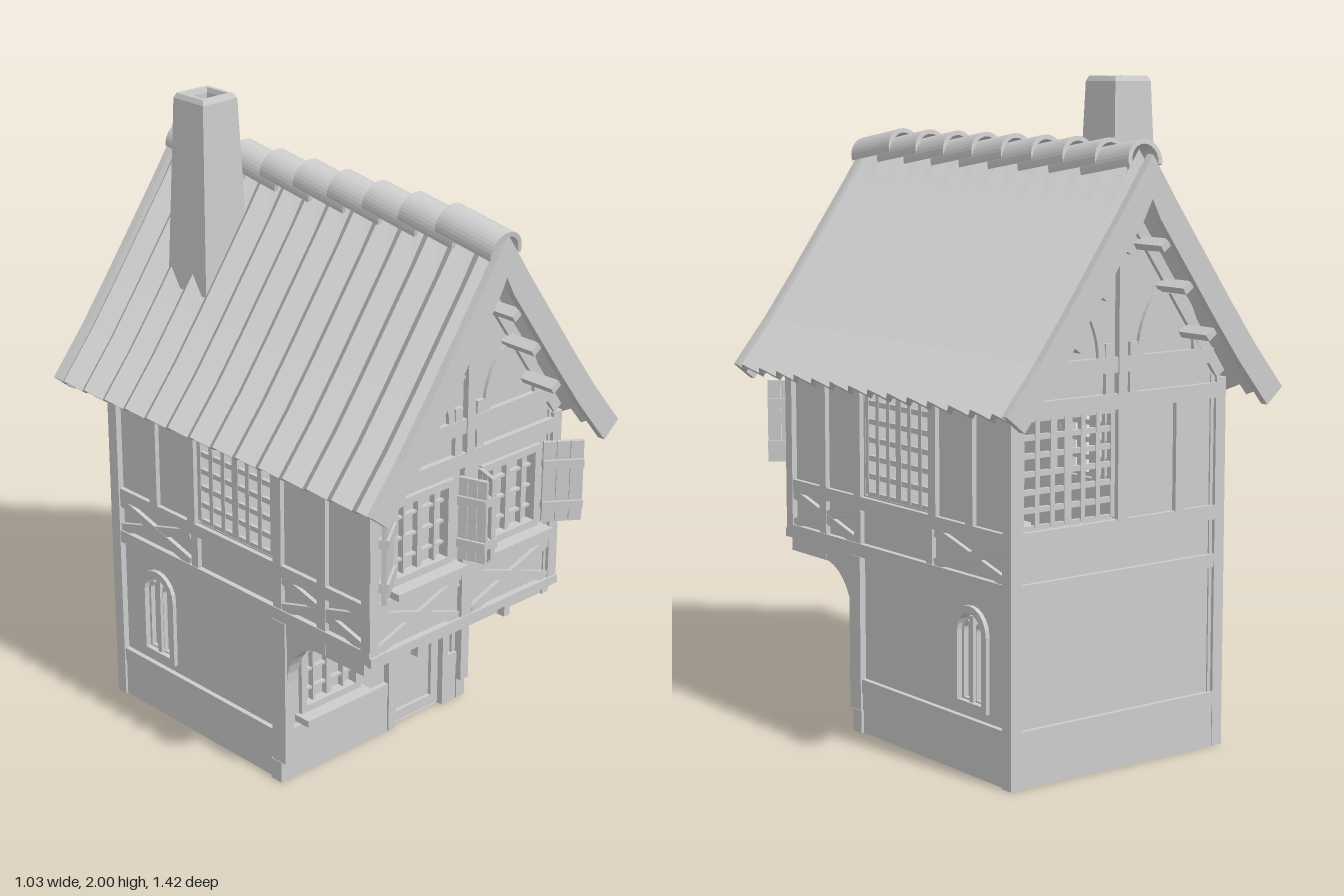
import * as THREE from 'three';

const grey = new THREE.MeshStandardMaterial({ color: 0xcccccc, side: THREE.DoubleSide });
grey.name = 'plain grey';

function add(parent, name, geo, x = 0, y = 0, z = 0) {
  const m = new THREE.Mesh(geo, grey);
  m.name = name;
  m.position.set(x, y, z);
  parent.add(m);
  return m;
}
// Box given by its x, y and z limits
function bar(g, name, x0, x1, y0, y1, z0, z1) {
  return add(g, name, new THREE.BoxGeometry(Math.abs(x1 - x0), y1 - y0, z1 - z0), (x0 + x1) / 2, (y0 + y1) / 2, (z0 + z1) / 2);
}
// Slanted timber lying on a wall
function beam(g, name, x0, y0, x1, y1, w, z, d = 0.02) {
  const m = add(g, name, new THREE.BoxGeometry(Math.hypot(x1 - x0, y1 - y0), w, d), (x0 + x1) / 2, (y0 + y1) / 2, z);
  m.rotation.z = Math.atan2(y1 - y0, x1 - x0);
}
const pts = (list) => list.map(([x, y]) => new THREE.Vector2(x, y));
const rect = (x0, x1, y0, y1) => [[x0, y0], [x1, y0], [x1, y1], [x0, y1]];
// Extruded outline with holes, its outer face at z = front
function plate(g, name, outline, holes, front, depth) {
  const s = new THREE.Shape(pts(outline));
  s.holes = holes.map((h) => new THREE.Path(pts(h)));
  return add(g, name, new THREE.ExtrudeGeometry(s, { depth, bevelEnabled: false }), 0, 0, front - depth);
}
// Round-headed outline
function arch(c, half, y0, y1) {
  const out = [[c - half, y0], [c + half, y0]];
  for (let i = 0; i <= 10; i++) {
    const a = (i / 10) * Math.PI;
    out.push([c + half * Math.cos(a), y1 - half + half * Math.sin(a)]);
  }
  return out;
}
// Framed pane with glazing bars and a sill
function windowUnit(g, x0, x1, y0, y1, W, sill = true) {
  const f = 0.022;
  plate(g, 'windowFrame', rect(x0, x1, y0, y1), [rect(x0 + f, x1 - f, y0 + f, y1 - f)], W + 0.014, 0.035);
  bar(g, 'windowPane', x0, x1, y0, y1, W - 0.028, W - 0.02);
  for (let i = 1; i < 4; i++) {
    const x = x0 + ((x1 - x0) * i) / 4, h = i === 2 ? 0.009 : 0.004, y = y0 + ((y1 - y0) * i) / 4;
    bar(g, 'glazingBar', x - h, x + h, y0, y1, W - 0.02, W);
    bar(g, 'glazingBar', x0, x1, y - 0.004, y + 0.004, W - 0.02, W - 0.004);
  }
  if (sill) bar(g, 'windowSill', x0 - 0.015, x1 + 0.015, y0 - 0.022, y0, W, W + 0.06);
}
// Open two-leaf grille
function lattice(g, x0, x1, y0, y1, W) {
  const n = 6, w = x1 - x0, h = y1 - y0;
  for (let i = 0; i <= n; i++) {
    const x = x0 + (w * i) / n, t = i === 3 ? 0.013 : 0.008, y = y0 + (h * i) / n;
    bar(g, 'latticeBar', x - t, x + t, y0, y1, W - 0.018, W);
    bar(g, 'latticeBar', x0, x1, y - 0.008, y + 0.008, W - 0.014, W - 0.002);
  }
}
function cross(g, x0, x1, y0, y1, W) {
  beam(g, 'crossBrace', x0, y0, x1, y1, 0.03, W);
  beam(g, 'crossBrace', x0, y1, x1, y0, 0.03, W - 0.001);
}

// Roof slope: slightly sagging profile, and a point offset along its normal
const slope = [[0, 1.8], [0.1, 1.655], [0.2, 1.515], [0.3, 1.375], [0.4, 1.24], [0.515, 1.1]];
function roofPoint(i, off) {
  const [x, y] = slope[i], a = slope[Math.max(i - 1, 0)], b = slope[Math.min(i + 1, 5)];
  const l = Math.hypot(b[0] - a[0], b[1] - a[1]);
  const px = x + (off * (a[1] - b[1])) / l, py = y + (off * (b[0] - a[0])) / l;
  return i === 0 ? [0, y + off * 1.6] : [px, py];
}

// Gable: wall top timbers, curved braces and purlin ends
function gable(g, W) {
  const T = W + 0.004;
  bar(g, 'gableRail', -0.385, 0.385, 1.06, 1.105, W - 0.01, W + 0.018);
  bar(g, 'gableRail', -0.35, 0.35, 1.165, 1.21, W - 0.01, W + 0.016);
  bar(g, 'kingPost', -0.016, 0.016, 1.1, 1.66, W - 0.01, W + 0.02);
  for (const s of [-1, 1]) {
    bar(g, 'gableStud', s * 0.03, s * 0.06, 1.105, 1.25, W - 0.01, W + 0.014);
    beam(g, 'gableRafter', s * 0.38, 1.13, 0, 1.665, 0.035, T);
    for (const [cx, dir] of [[0.06, 1], [0.3, -1]]) {
      const outer = [], inner = [];
      for (let i = 0; i <= 8; i++) {
        const a = (i / 8) * 1.35, k = Math.sin(a), c = 1 - Math.cos(a);
        outer.push([s * (cx + dir * 0.14 * c), 1.2 + 0.21 * k]);
        inner.unshift([s * (cx + dir * (0.025 + 0.125 * c)), 1.2 + 0.185 * k]);
      }
      plate(g, 'curvedBrace', [...outer, ...inner], [], W + 0.012, 0.02);
    }
    for (const [x, y] of [[0.07, 1.53], [0.155, 1.405], [0.245, 1.265]]) {
      const p = add(g, 'purlinEnd', new THREE.BoxGeometry(0.035, 0.022, 0.13), s * x, y, W + 0.055);
      p.rotation.z = s * 0.6;
    }
  }
}

export function createModel() {
  const house = new THREE.Group();
  house.name = 'timberHouse';

  // Long side walls; u maps world z to the wall's own x
  for (const s of [-1, 1]) {
    const g = new THREE.Group();
    g.name = s > 0 ? 'leftSide' : 'rightSide';
    g.rotation.y = (s * Math.PI) / 2;
    house.add(g);
    const W = 0.38, u = (z) => -s * z;
    const map = (list) => list.map(([z, y]) => [u(z), y]);
    const tim = (name, z0, z1, y0, y1, p = 0.015) => bar(g, name, u(z0), u(z1), y0, y1, W - 0.015, W + p);
    const hole = rect(-0.185, 0.165, 0.74, 1.09);
    plate(g, 'sideWall', map([[-0.575, 0], [0.2, 0], [0.2, 0.53], [0.575, 0.53], [0.575, 1.13], [-0.575, 1.13]]),
      [map(hole), map(arch(-0.38, 0.062, 0.215, 0.48))], W, 0.03);
    tim('plinth', -0.58, 0.2, 0, 0.125, 0.012);
    tim('lowRail', -0.58, 0.2, 0.125, 0.168, 0.016);
    tim('floorBeam', -0.58, 0.57, 0.55, 0.59, 0.018);
    tim('jettyBeam', 0.17, 0.56, 0.507, 0.56, 0.014);
    tim('sillRail', -0.58, 0.57, 0.695, 0.735);
    tim('cornerPost', -0.585, -0.545, 0, 1.12, 0.02);
    tim('frontPost', 0.17, 0.228, 0.07, 0.55, 0.02);
    tim('frontPostFoot', 0.165, 0.21, 0, 0.07, 0.022);
    tim('upperCornerPost', 0.55, 0.585, 0.56, 1.12, 0.018);
    for (const [z, y] of [[0.38, 0.51], [0.19, 0.55], [-0.2, 0.7], [-0.38, 0.7]]) tim('stud', z - 0.018, z + 0.018, y, 1.12);
    tim('stud', -0.2, -0.17, 0.59, 0.7);
    cross(g, u(-0.21), u(-0.55), 0.595, 0.69, W + 0.004);
    cross(g, u(0.21), u(0.55), 0.595, 0.69, W + 0.004);
    lattice(g, Math.min(u(-0.175), u(0.155)), Math.max(u(-0.175), u(0.155)), 0.745, 1.08, W);
    // Curved jetty bracket at the front corner
    const br = [[0.2, 0.52], [0.2, 0.34]];
    for (let i = 0; i <= 8; i++) {
      const a = (i / 8) * Math.PI / 2;
      br.push([0.388 - 0.16 * Math.cos(a), 0.35 + 0.16 * Math.sin(a)]);
    }
    plate(g, 'jettyBracket', map(br), [], W + 0.012, 0.045);
    // Round-headed side window
    plate(g, 'archFrame', map(arch(-0.38, 0.08, 0.195, 0.5)), [map(arch(-0.38, 0.058, 0.215, 0.478))], W + 0.014, 0.03);
    plate(g, 'archPane', map(arch(-0.38, 0.066, 0.2, 0.485)), [], W - 0.02, 0.008);
    bar(g, 'archMullion', u(-0.38) - 0.009, u(-0.38) + 0.009, 0.215, 0.47, W - 0.02, W + 0.006);
    for (const c of [-0.41, -0.35])
      plate(g, 'lancet', map(arch(c, 0.029, 0.21, 0.45)), [map(arch(c, 0.019, 0.22, 0.44))], W - 0.004, 0.02);
  }

  // Ground floor front with door and window
  const low = new THREE.Group();
  low.name = 'groundFloorFront';
  house.add(low);
  const L = 0.19;
  plate(low, 'frontWall', rect(-0.38, 0.38, 0, 0.53), [rect(-0.29, -0.08, 0.205, 0.45), rect(0.07, 0.305, 0.001, 0.41)], L, 0.03);
  for (const [a, b] of [[-0.385, 0.055], [0.32, 0.385]]) {
    bar(low, 'plinth', a, b, 0, 0.125, L - 0.01, L + 0.015);
    bar(low, 'lowRail', a, b, 0.125, 0.168, L - 0.01, L + 0.018);
  }
  windowUnit(low, -0.31, -0.06, 0.2, 0.46, L);
  bar(low, 'windowHead', -0.335, -0.04, 0.455, 0.478, L, L + 0.035);
  for (const x of [0.055, 0.297]) bar(low, 'doorJamb', x, x + 0.024, 0, 0.415, L - 0.03, L + 0.022);
  bar(low, 'doorHead', 0.055, 0.32, 0.405, 0.425, L - 0.03, L + 0.022);
  bar(low, 'doorHood', 0.04, 0.335, 0.42, 0.437, L, L + 0.04);
  bar(low, 'door', 0.07, 0.305, 0, 0.41, L - 0.025, L - 0.012);
  plate(low, 'doorPanels', rect(0.079, 0.297, 0.005, 0.405), [rect(0.11, 0.266, 0.04, 0.23), rect(0.11, 0.266, 0.265, 0.375)], L, 0.013);
  for (const x of [0.16, 0.215]) bar(low, 'doorGlazingBar', x - 0.004, x + 0.004, 0.265, 0.375, L - 0.012, L - 0.002);
  bar(low, 'doorGlazingBar', 0.11, 0.266, 0.316, 0.324, L - 0.012, L - 0.002);

  // Jettied upper floor front
  const up = new THREE.Group();
  up.name = 'upperFloorFront';
  house.add(up);
  const U = 0.57;
  const gableWall = [[0.38, 1.12], [0, 1.69], [-0.38, 1.12]];
  bar(up, 'jettyFloor', -0.38, 0.38, 0.51, 0.55, 0.16, 0.555);
  plate(up, 'upperWall', [[-0.38, 0.53], [0.38, 0.53], ...gableWall],
    [rect(-0.3, -0.07, 0.78, 1.02), rect(0.07, 0.3, 0.78, 1.02)], U, 0.03);
  bar(up, 'floorBeam', -0.398, 0.398, 0.548, 0.575, U - 0.02, U + 0.022);
  bar(up, 'sillRail', -0.39, 0.39, 0.7, 0.735, U - 0.01, U + 0.016);
  bar(up, 'middlePost', -0.022, 0.022, 0.57, 1.07, U - 0.01, U + 0.018);
  for (const s of [-1, 1]) {
    bar(up, 'cornerPost', s * 0.36, s * 0.397, 0.57, 1.12, U - 0.02, U + 0.016);
    bar(up, 'joistEnd', s * 0.185 - 0.012, s * 0.185 + 0.012, 0.505, 0.55, 0.2, 0.582);
    cross(up, s * 0.03, s * 0.36, 0.58, 0.695, U + 0.004);
    windowUnit(up, s > 0 ? 0.06 : -0.31, s > 0 ? 0.31 : -0.06, 0.77, 1.035, U);
    // Open shutters, hinged at each window jamb
    for (const [x, ang] of [[0.315, -0.62], [0.042, -1.9]]) {
      const sh = new THREE.Group();
      sh.name = 'shutter';
      sh.position.set(s * x, 0, U + 0.018);
      sh.rotation.y = s * ang;
      up.add(sh);
      const len = x > 0.1 ? 0.125 : 0.09;
      for (let i = 0; i < 3; i++)
        bar(sh, 'shutterBoard', s * (len * i / 3 + 0.001), s * (len * (i + 1) / 3 - 0.001), 0.78, 1.04, -0.008, 0.006);
      for (const y of [0.82, 0.955]) bar(sh, 'shutterBatten', 0, s * len, y, y + 0.028, -0.016, 0.014);
    }
  }
  gable(up, U);

  // Back wall with one grille
  const back = new THREE.Group();
  back.name = 'backWall';
  back.rotation.y = Math.PI;
  house.add(back);
  plate(back, 'backPanel', [[-0.38, 0], [0.38, 0], ...gableWall], [rect(-0.355, -0.015, 0.74, 1.06)], U, 0.03);
  bar(back, 'plinth', -0.385, 0.385, 0, 0.125, U - 0.01, U + 0.012);
  for (const [a, b] of [[0.125, 0.168], [0.55, 0.59], [0.695, 0.738]]) bar(back, 'rail', -0.385, 0.385, a, b, U - 0.01, U + 0.014);
  for (const x of [-0.38, 0.005, 0.225, 0.38]) bar(back, 'stud', x - 0.018, x + 0.018, Math.abs(x) > 0.3 ? 0 : 0.735, 1.1, U - 0.01, U + 0.015);
  lattice(back, -0.35, -0.02, 0.745, 1.055, U);
  gable(back, U);

  // Corrugated roof: a subdivided slab bent along the slope and pleated along z
  const roof = new THREE.Group();
  roof.name = 'roof';
  house.add(roof);
  const slab = new THREE.BoxGeometry(1, 1, 1, 5, 1, 28);
  const p = slab.attributes.position;
  for (let i = 0; i < p.count; i++) {
    const k = Math.round((p.getZ(i) + 0.5) * 28);
    const off = (k % 2 ? 0 : -0.04) + (p.getY(i) > 0 ? 0 : -0.02);
    const [x, y] = roofPoint(Math.round((p.getX(i) + 0.5) * 5), off);
    p.setXYZ(i, x, y, p.getZ(i) * 1.4);
  }
  const sheet = slab.toNonIndexed();
  sheet.computeVertexNormals();
  for (const s of [-1, 1]) {
    const side = new THREE.Group();
    side.name = 'roofSide';
    side.rotation.y = s > 0 ? 0 : Math.PI;
    roof.add(side);
    add(side, 'tiles', sheet);
    const board = [];
    for (let i = 0; i < 6; i++) board.push(roofPoint(i, -0.008));
    for (let i = 5; i >= 0; i--) board.push(roofPoint(i, -0.085));
    for (const z of [0.71, -0.685]) plate(side, 'bargeBoard', board, [], z, 0.025);
  }

  // Overlapping half-round ridge tiles
  const ring = new THREE.Shape();
  ring.absarc(0, 0, 0.062, -0.2, Math.PI + 0.2, false);
  ring.absarc(0, 0, 0.048, Math.PI + 0.2, -0.2, true);
  const cap = new THREE.ExtrudeGeometry(ring, { depth: 0.215, bevelEnabled: false, curveSegments: 10 });
  for (let i = 0; i < 9; i++) add(roof, 'ridgeTile', cap, 0, 1.768, 0.49 - 0.146 * i).rotation.x = 0.16;

  // Tapered hollow chimney with a softened rim
  const r = Math.SQRT2;
  const prof = pts([[0.088 * r, 1.4], [0.067 * r, 1.985], [0.06 * r, 2], [0.047 * r, 2], [0.043 * r, 1.985], [0.043 * r, 1.6], [0, 1.6]]);
  const stack = new THREE.LatheGeometry(prof, 4).rotateY(Math.PI / 4).toNonIndexed();
  stack.computeVertexNormals();
  add(house, 'chimney', stack, -0.153, 0, -0.375);

  return house;
}
